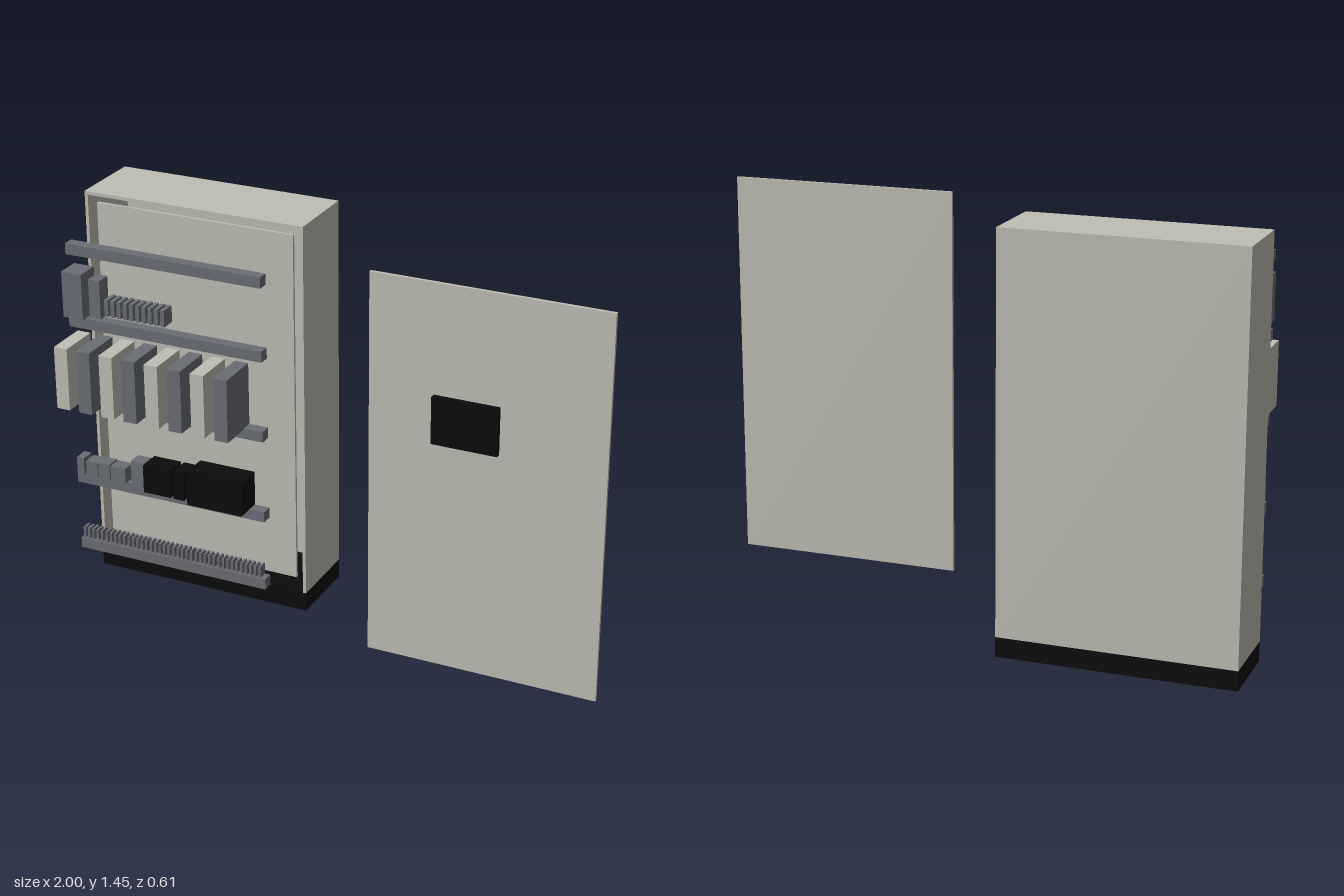
import * as THREE from 'three';

export function createModel() {
  const model = new THREE.Group();
  const mat = (name, color) => {
    const m = new THREE.MeshStandardMaterial({ color });
    m.name = name;
    return m;
  };
  const light = mat('light grey', 0xc0bfb5);
  const grey = mat('slate grey', 0x6b6e76);
  const black = mat('black', 0x0b0b0b);

  // Box given by its extents on each axis
  const box = (parent, name, material, x0, x1, y0, y1, z0, z1) => {
    const mesh = new THREE.Mesh(new THREE.BoxGeometry(x1 - x0, y1 - y0, z1 - z0), material);
    mesh.position.set((x0 + x1) / 2, (y0 + y1) / 2, (z0 + z1) / 2);
    mesh.name = name;
    parent.add(mesh);
  };
  const group = (name) => {
    const g = new THREE.Group();
    g.name = name;
    model.add(g);
    return g;
  };

  // Open-fronted cabinet on a plinth
  const cabinet = group('cabinet');
  const L = -1, R = -0.171, T = 1.453, B = 0.07, back = -0.304, front = -0.027, w = 0.012;
  box(cabinet, 'plinth', black, L, R, 0, B, back, front);
  box(cabinet, 'backWall', light, L, R, B, T, back, back + w);
  box(cabinet, 'leftWall', light, L, L + w, B, T, back + w, front);
  box(cabinet, 'rightWall', light, R - w, R, B, T, back + w, front);
  box(cabinet, 'topWall', light, L + w, R - w, T - w, T, back + w, front);
  box(cabinet, 'mountingPlate', light, -0.962, -0.215, 0.118, 1.412, -0.052, -0.042);

  // Detached door with display
  const door = group('door');
  box(door, 'doorPanel', light, 0.185, 1, 0.08, 1.45, 0.217, 0.229);
  box(door, 'display', black, 0.41, 0.638, 0.902, 1.068, 0.229, 0.248);

  // Mounting rails
  const zr = 0.148;
  const rails = group('rails');
  for (const y of [0.185, 0.447, 0.75, 1.042, 1.305])
    box(rails, 'rail', grey, -0.955, -0.222, y, y + 0.039, zr, 0.188);

  // Upper row: main switches and small relays
  const upper = group('upperRow');
  box(upper, 'mainSwitch', grey, -0.947, -0.871, 1.096, 1.26, zr, 0.234);
  box(upper, 'smallSwitch', grey, -0.863, -0.82, 1.096, 1.234, zr, 0.202);
  for (let i = 0; i < 10; i++) {
    const x = -0.805 + i * 0.0238;
    box(upper, 'relay', grey, x, x + 0.015, 1.11, 1.17, zr, 0.202);
  }

  // Tall modules in alternating colours
  const modules = group('moduleRow');
  for (let i = 0; i < 8; i++) {
    const x = -0.948 + i * 0.0866;
    box(modules, 'module', i % 2 ? grey : light, x, x + 0.05, 0.785, 1.012, zr, 0.305);
  }

  // Controller row: [x0, x1, top, front, material]
  const controllers = group('controllerRow');
  [
    [-0.948, -0.92, 0.55, 0.2, grey],
    [-0.911, -0.865, 0.543, 0.2, grey],
    [-0.862, -0.817, 0.546, 0.2, grey],
    [-0.813, -0.755, 0.543, 0.2, grey],
    [-0.73, -0.678, 0.58, 0.2, grey],
    [-0.665, -0.56, 0.59, 0.23, black],
    [-0.548, -0.508, 0.59, 0.23, black],
    [-0.484, -0.276, 0.611, 0.25, black],
  ].forEach(([x0, x1, y, z, m]) => box(controllers, 'controller', m, x0, x1, 0.487, y, zr, z));

  // Terminal blocks in groups of five
  const terminals = group('terminalRow');
  for (let g = 0; g < 8; g++)
    for (let i = 0; i < 5; i++) {
      const x = -0.948 + g * 0.0895 + i * 0.0175;
      box(terminals, 'terminal', grey, x, x + 0.009, 0.222, 0.265, zr, 0.182);
    }

  return model;
}
